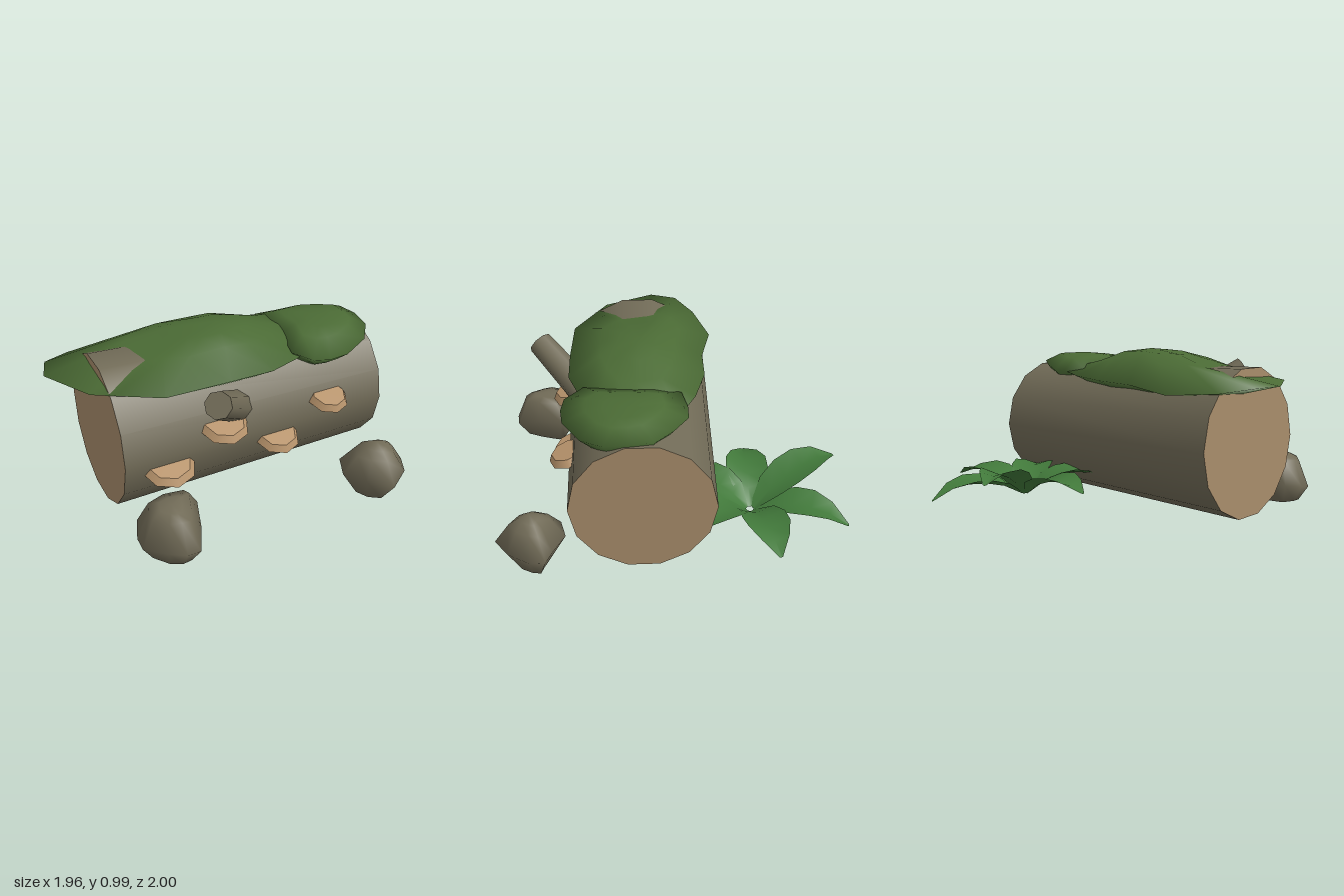
import * as THREE from 'three';
import { mergeVertices } from 'three/addons/utils/BufferGeometryUtils.js';

const mat = (name, color, side = THREE.FrontSide) => {
  const m = new THREE.MeshStandardMaterial({ color, side });
  m.name = name;
  return m;
};

// Closed smooth surface from rings of points, listed top to bottom
function loft(rings) {
  const n = rings[0].length, index = [];
  for (let i = 0; i < rings.length - 1; i++) {
    for (let j = 0; j < n; j++) {
      const k = (j + 1) % n, a = i * n + j, b = i * n + k;
      index.push(a, b, a + n, b, b + n, a + n);
    }
  }
  let g = new THREE.BufferGeometry();
  g.setAttribute('position', new THREE.Float32BufferAttribute(rings.flat(2), 3));
  g.setIndex(index);
  g = mergeVertices(g, 1e-4);
  g.computeVertexNormals();
  return g;
}

// Lumpy cushion: outline points are [x, z, rim height, shoulder height]
function cushion(outline, [cx, cz], top, bottom, shoulder, crown, under) {
  const ring = (s, height) => outline.map((p) =>
    [cx + (p[0] - cx) * s, height(p), cz + (p[1] - cz) * s]);
  return loft([
    ring(0, () => top),
    ring(shoulder * 0.54, (p) => p[3] + (top - p[3]) * crown),
    ring(shoulder, (p) => p[3]),
    ring(1, (p) => p[2]),
    ring(under, () => bottom),
    ring(0, () => bottom),
  ]);
}

// Leaf blade along +x, folded slightly along its middle
function leaf(length, heights) {
  const widths = [0.05, 0.2, 0.25, 0.24, 0.16, 0.02];
  const pos = [], index = [];
  widths.forEach((w, i) => {
    const x = 0.02 + (length - 0.02) * i / (widths.length - 1), y = heights[i];
    pos.push(x, y + w * 0.08, -w / 2, x, y - w * 0.08, 0, x, y + w * 0.08, w / 2);
    if (i === 0) return;
    for (let j = 0; j < 2; j++) {
      const a = (i - 1) * 3 + j, b = a + 3;
      index.push(a, a + 1, b, a + 1, b + 1, b);
    }
  });
  const g = new THREE.BufferGeometry();
  g.setAttribute('position', new THREE.Float32BufferAttribute(pos, 3));
  g.setIndex(index);
  g.computeVertexNormals();
  return g;
}

export function createModel() {
  const model = new THREE.Group();
  const bark = mat('bark', 0x716b57);
  const wood = mat('cut wood', 0xa88d6b);
  const fungus = mat('shelf fungus', 0xb8946c);
  const moss = mat('moss', 0x4b6b35);
  const fernGreen = mat('fern green', 0x427a3b, THREE.DoubleSide);
  const add = (name, geometry, material, parent = model) => {
    const mesh = new THREE.Mesh(geometry, material);
    mesh.name = name;
    parent.add(mesh);
    return mesh;
  };

  // Tapered log lying along x with pale cut ends
  const log = add('log', new THREE.CylinderGeometry(0.393, 0.437, 1.625, 14), [bark, wood, wood]);
  log.rotation.z = -Math.PI / 2;
  log.position.set(0.083, 0.478, 0.167);

  // Broken branch stub
  const tip = new THREE.Vector3(-0.275, 0.845, 0.765);
  const root = new THREE.Vector3(-0.02, 0.615, 0.48);
  const dir = tip.clone().sub(root);
  const stub = add('branchStub', new THREE.CylinderGeometry(0.075, 0.092, dir.length(), 8), bark);
  stub.position.copy(root).add(tip).multiplyScalar(0.5);
  stub.quaternion.setFromUnitVectors(new THREE.Vector3(0, 1, 0), dir.normalize());

  // Shelf fungi sloping out of the front
  const shelves = [[-0.47, 0.4, 0.155], [-0.14, 0.57, 0.143], [0.2, 0.4, 0.132], [0.525, 0.57, 0.12]];
  for (const [x, y, r] of shelves) {
    const shelf = add('shelfFungus', new THREE.CylinderGeometry(r * 0.8, r, 0.038, 8), fungus);
    shelf.position.set(x, y + 0.015, 0.562);
    shelf.rotation.x = 0.3;
  }

  // Large moss blanket
  add('mossBlanket', cushion([
    [0.62, 0.2, 0.85, 0.91], [0.53, 0.4, 0.84, 0.91], [0.35, 0.5, 0.84, 0.92],
    [0.15, 0.57, 0.84, 0.94], [-0.1, 0.575, 0.84, 0.95], [-0.48, 0.565, 0.83, 0.935],
    [-0.7, 0.44, 0.83, 0.915], [-0.82, 0.37, 0.83, 0.9], [-0.98, 0.07, 0.825, 0.885],
    [-0.93, -0.09, 0.82, 0.905], [-0.77, -0.2, 0.79, 0.92], [-0.48, -0.285, 0.768, 0.92],
    [-0.15, -0.215, 0.8, 0.94], [0.1, -0.21, 0.81, 0.94], [0.35, -0.14, 0.82, 0.92],
    [0.56, -0.05, 0.84, 0.91],
  ], [0, 0.165], 0.99, 0.76, 0.55, 0.72, 0.72), moss);

  // Smaller moss patch at the narrow end
  add('mossPatch', cushion([
    [0.9, 0.23, 0.885, 0.925], [0.89, 0.36, 0.87, 0.92], [0.8, 0.48, 0.85, 0.915],
    [0.62, 0.58, 0.84, 0.91], [0.5, 0.595, 0.84, 0.91], [0.4, 0.58, 0.85, 0.91],
    [0.315, 0.48, 0.87, 0.915], [0.36, 0.28, 0.885, 0.925], [0.35, 0.1, 0.88, 0.92],
    [0.37, -0.06, 0.86, 0.915], [0.5, -0.09, 0.84, 0.91], [0.6, -0.085, 0.84, 0.915],
    [0.75, 0, 0.86, 0.925], [0.88, 0.1, 0.88, 0.93],
  ], [0.64, 0.25], 0.938, 0.755, 0.62, 0.6, 0.68), moss);

  // Two stones in front
  add('stoneRight', cushion([
    [-0.355, 0.68, 0.2, 0.31], [-0.41, 0.85, 0.18, 0.3], [-0.47, 0.98, 0.13, 0.29],
    [-0.55, 0.992, 0.14, 0.3], [-0.64, 0.95, 0.15, 0.29], [-0.735, 0.83, 0.12, 0.28],
    [-0.735, 0.75, 0.13, 0.29], [-0.69, 0.63, 0.15, 0.29], [-0.55, 0.61, 0.17, 0.31],
    [-0.38, 0.63, 0.14, 0.31],
  ], [-0.55, 0.79], 0.327, 0.03, 0.66, 0.7, 0.68), bark);
  add('stoneLeft', cushion([
    [0.945, 0.69, 0.17, 0.275], [0.935, 0.78, 0.16, 0.28], [0.87, 0.9, 0.17, 0.28],
    [0.74, 0.985, 0.15, 0.27], [0.61, 0.9, 0.17, 0.27], [0.54, 0.76, 0.155, 0.26],
    [0.6, 0.63, 0.16, 0.27], [0.7, 0.6, 0.14, 0.28], [0.85, 0.66, 0.16, 0.29],
  ], [0.74, 0.78], 0.335, 0, 0.58, 0.6, 0.5), bark);

  // Fern behind the log: [tip x, tip z, heights along the blade]
  const fern = new THREE.Group();
  fern.name = 'fern';
  fern.position.set(0.48, 0, -0.46);
  model.add(fern);
  const low = [0.12, 0.19, 0.22, 0.225, 0.2, 0.13];
  const mid = [0.12, 0.2, 0.235, 0.25, 0.235, 0.19];
  const high = [0.12, 0.22, 0.28, 0.32, 0.33, 0.29];
  const leaves = [
    [-0.03, -0.47, mid], [0.2, -0.99, high], [0.67, -1, low],
    [0.98, -0.56, mid], [0.78, -0.06, mid], [0.22, -0.06, mid],
  ];
  for (const [x, z, heights] of leaves) {
    const dx = x - 0.48, dz = z + 0.46;
    const blade = add('fernLeaf', leaf(Math.hypot(dx, dz), heights), fernGreen, fern);
    blade.rotation.y = Math.atan2(-dz, dx);
  }
  return model;
}
